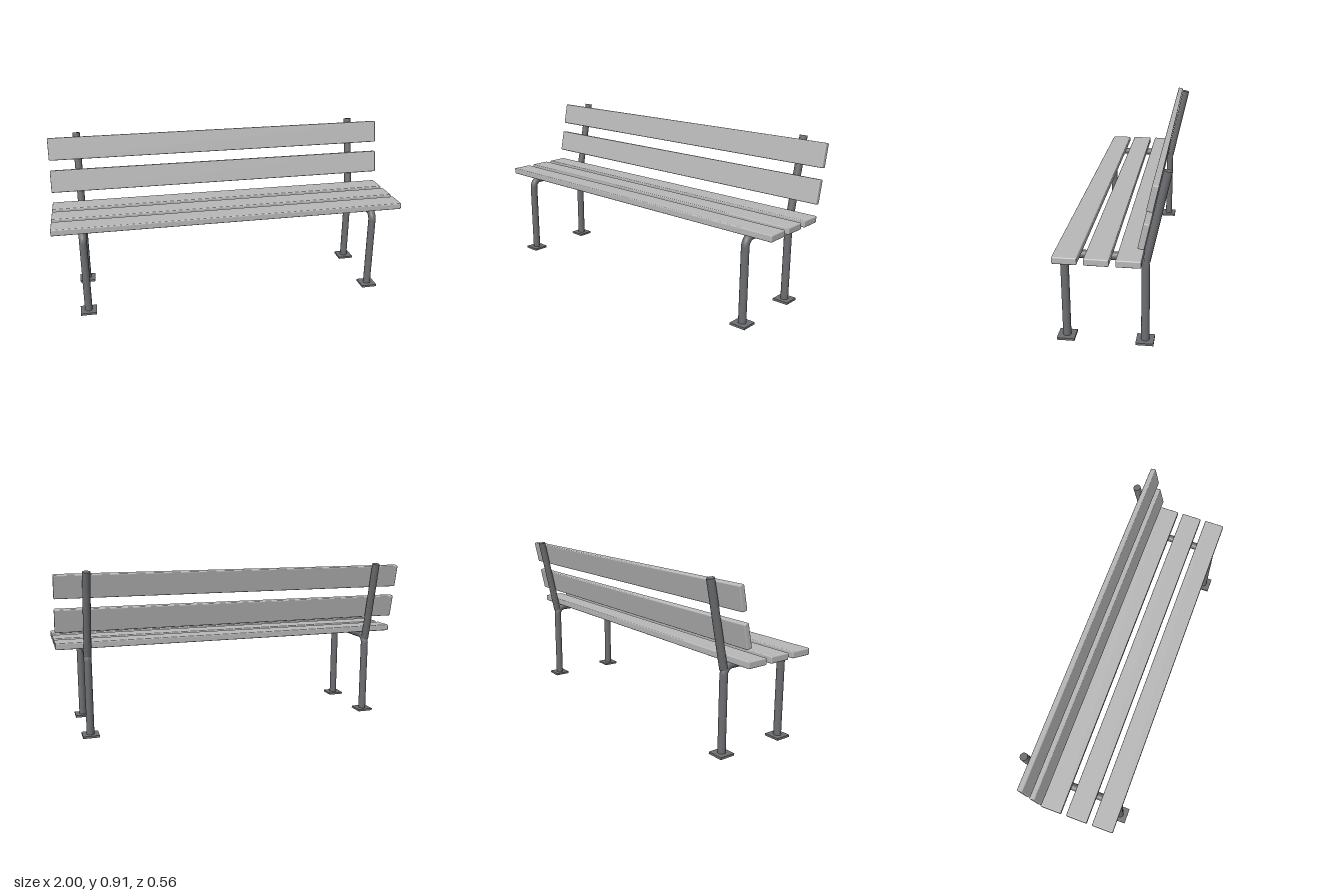
import * as THREE from 'three';
import { RoundedBoxGeometry } from 'three/addons/geometries/RoundedBoxGeometry.js';

const slatMat = new THREE.MeshStandardMaterial({ color: 0xb8b8b8 });
slatMat.name = 'light grey slats';
const metalMat = new THREE.MeshStandardMaterial({ color: 0x6c6e71 });
metalMat.name = 'dark grey metal';

const TUBE = 0.021;          // tube radius
const BEND = 0.046;          // centreline radius of the bends
const FRONT = 0.239, BACK = -0.16, RAIL_Y = 0.467;
const TILT = THREE.MathUtils.degToRad(12);

function add(parent, name, geometry, material, x, y, z) {
  const mesh = new THREE.Mesh(geometry, material);
  mesh.name = name;
  mesh.position.set(x, y, z);
  parent.add(mesh);
  return mesh;
}

function tube(length) {
  return new THREE.CylinderGeometry(TUBE, TUBE, length, 20);
}

// One bent tube frame with feet and a leaning back post
function createFrame() {
  const frame = new THREE.Group();
  const legTop = RAIL_Y - BEND;

  for (const [side, z, dir] of [['front', FRONT, 1], ['back', BACK, -1]]) {
    add(frame, side + 'Foot', new THREE.BoxGeometry(0.09, 0.012, 0.09), metalMat, 0, 0.006, z);
    add(frame, side + 'Leg', tube(legTop - 0.006), metalMat, 0, (legTop + 0.006) / 2, z);
    const bend = new THREE.TorusGeometry(BEND, TUBE, 20, 5, Math.PI / 2);
    add(frame, side + 'Bend', bend, metalMat, 0, legTop, z - dir * BEND).rotation.y = -dir * Math.PI / 2;
  }

  const rail = add(frame, 'seatRail', tube(FRONT - BACK - 2 * BEND), metalMat, 0, RAIL_Y, (FRONT + BACK) / 2);
  rail.rotation.x = Math.PI / 2;

  const post = add(frame, 'backPost', tube(0.47), metalMat, 0, 0.679, -0.211);
  post.rotation.x = -TILT;
  return frame;
}

export function createModel() {
  const bench = new THREE.Group();
  bench.name = 'bench';

  // Mirrored side frames
  for (const [name, x] of [['leftFrame', 0.835], ['rightFrame', -0.835]]) {
    const frame = createFrame();
    frame.name = name;
    frame.position.x = x;
    bench.add(frame);
  }

  // Three seat slats
  const seatSlat = new RoundedBoxGeometry(2, 0.036, 0.119, 2, 0.006);
  [0.2045, 0.0545, -0.0955].forEach((z, i) =>
    add(bench, 'seatSlat' + (i + 1), seatSlat, slatMat, 0, 0.506, z));

  // Two tilted backrest slats
  const backSlat = new RoundedBoxGeometry(2, 0.129, 0.031, 2, 0.006);
  [[0.648, -0.1655], [0.832, -0.2035]].forEach(([y, z], i) => {
    add(bench, 'backSlat' + (i + 1), backSlat, slatMat, 0, y, z).rotation.x = -TILT;
  });

  return bench;
}
